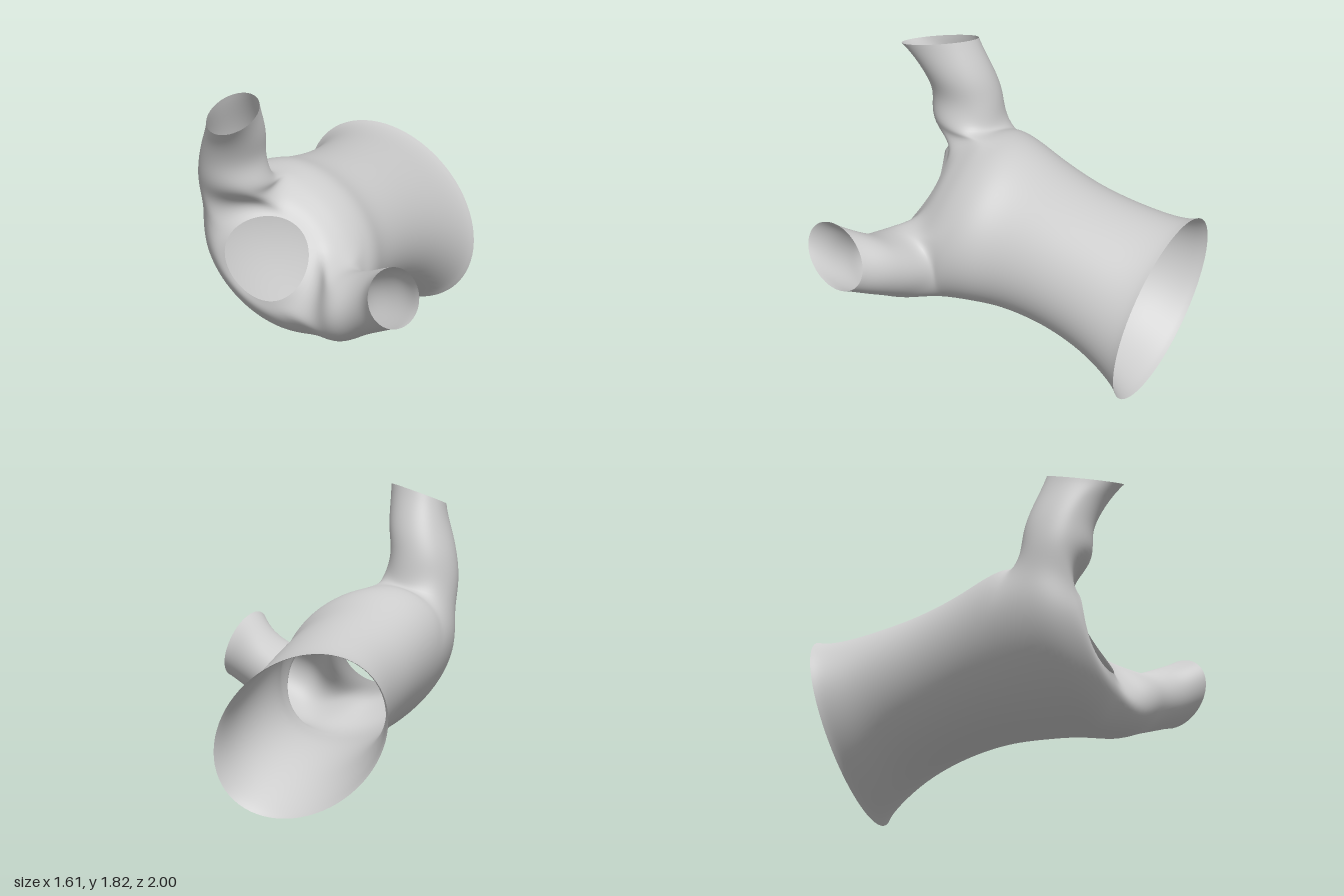
import * as THREE from 'three';

const COLS = 72, STEP = 6, SLEEVE_STEPS = 7, SMOOTHING = 8;
const V = (x, y, z) => new THREE.Vector3(x, y, z);

// torso loops, hem to neck: centre x, centre y, z at chest, z at back, half width, half depth, z lift at the shoulders
const LOOPS = [
  [-0.255, 0.52, -0.83, -1.0, 0.6, 0.45, 0],
  [-0.25, 0.555, -0.74, -0.86, 0.545, 0.43, 0],
  [-0.23, 0.63, -0.56, -0.62, 0.49, 0.405, 0],
  [-0.215, 0.7, -0.3, -0.3, 0.465, 0.4, 0],
  [-0.21, 0.755, 0, 0, 0.49, 0.4, 0],
  [-0.19, 0.79, 0.25, 0.18, 0.54, 0.42, 0],
  [-0.185, 0.79, 0.47, 0.34, 0.57, 0.4, 0],
  [-0.18, 0.79, 0.68, 0.44, 0.55, 0.355, 0.03],
  [-0.165, 0.825, 0.81, 0.51, 0.42, 0.28, 0.06],
  [-0.168, 0.83, 0.81, 0.57, 0.26, 0.22, 0.06],
];
const ACROSS = V(0.77, -0.64, 0), DEPTH = V(0.64, 0.77, 0);

// sleeve loops, shoulder to cuff: centre and two half axes
const SLEEVES = [
  { col: 33, loops: [
    [V(-0.44, 1.25, 0.62), V(-0.235, -0.02, 0), V(0, 0, 0.22)],
    [V(-0.45, 1.42, 0.645), V(-0.2, 0, 0), V(0, 0, 0.215)],
    [V(-0.41, 1.58, 0.69), V(-0.195, -0.02, 0), V(0.02, 0, 0.22)],
    [V(-0.365, 1.76, 0.785), V(-0.17, -0.055, 0.02), V(0.08, -0.04, 0.21)],
  ] },
  { col: 3, loops: [
    [V(0.32, 0.585, 0.615), V(-0.01, 0.22, 0), V(0, 0, 0.255)],
    [V(0.48, 0.65, 0.635), V(-0.04, 0.185, 0), V(0, 0, 0.24)],
    [V(0.62, 0.72, 0.68), V(-0.045, 0.185, 0), V(-0.01, 0, 0.235)],
    [V(0.745, 0.79, 0.77), V(-0.05, 0.19, 0.03), V(-0.035, 0, 0.225)],
  ] },
];
const HALF = 8, ROW0 = 34, ROW1 = 50; // size of each armhole in grid cells

export function createModel() {
  const group = new THREE.Group();
  const points = [], index = [], rims = new Set();
  const add = (p) => points.push(p) - 1;
  const quad = (a, b, c, d) => index.push(a, b, c, b, d, c);

  // torso: one smooth curve per column, sampled into a grid
  const rows = (LOOPS.length - 1) * STEP;
  const grid = [];
  for (let i = 0; i < COLS; i++) {
    const t = (i / COLS) * Math.PI * 2, c = Math.cos(t), s = Math.sin(t);
    const curve = new THREE.CatmullRomCurve3(LOOPS.map(([x, y, zF, zB, A, B, lift]) =>
      V(x, y, (zF + zB) / 2 + ((zB - zF) / 2) * s + lift * c * c)
        .addScaledVector(ACROSS, A * c).addScaledVector(DEPTH, B * s)), false, 'catmullrom', 0.5);
    const line = curve.getPoints(rows).map(add);
    rims.add(line[0]).add(line[rows]);
    grid.push(line);
  }
  const at = (i, j) => grid[(i + COLS) % COLS][j];
  const inArmhole = (i, j) => j >= ROW0 && j < ROW1 &&
    SLEEVES.some(({ col }) => (i - col + HALF + COLS) % COLS < 2 * HALF);
  for (let i = 0; i < COLS; i++) {
    for (let j = 0; j < rows; j++) {
      if (!inArmhole(i, j)) quad(at(i, j), at(i + 1, j), at(i, j + 1), at(i + 1, j + 1));
    }
  }

  // sleeves: grow from the armhole edge to the cuff
  for (const { col, loops } of SLEEVES) {
    const edge = [];
    const mid = (ROW0 + ROW1) / 2, halfRows = (ROW1 - ROW0) / 2;
    for (let a = -HALF; a < HALF; a++) edge.push([a, -halfRows]);
    for (let b = -halfRows; b < halfRows; b++) edge.push([HALF, b]);
    for (let a = HALF; a > -HALF; a--) edge.push([a, halfRows]);
    for (let b = halfRows; b > -halfRows; b--) edge.push([-HALF, b]);
    const lines = edge.map(([a, b]) => {
      const start = at(col + a, mid + b);
      const f = Math.atan2(b / halfRows, a / HALF);
      const keys = loops.map(([c, p, q]) =>
        c.clone().addScaledVector(p, Math.cos(f)).addScaledVector(q, Math.sin(f)));
      const curve = new THREE.CatmullRomCurve3([points[start], ...keys], false, 'centripetal');
      const line = [start, ...curve.getPoints(loops.length * SLEEVE_STEPS).slice(1).map(add)];
      rims.add(line[line.length - 1]);
      return line;
    });
    lines.forEach((line, k) => {
      const next = lines[(k + 1) % lines.length];
      for (let j = 0; j < line.length - 1; j++) quad(line[j], next[j], line[j + 1], next[j + 1]);
    });
  }

  // relax the cloth so that sleeves and torso flow into each other; the rims stay put
  const neighbours = points.map(() => new Set());
  for (let k = 0; k < index.length; k += 3) {
    const [a, b, c] = index.slice(k, k + 3);
    neighbours[a].add(b).add(c);
    neighbours[b].add(a).add(c);
    neighbours[c].add(a).add(b);
  }
  for (let n = 0; n < SMOOTHING; n++) {
    const old = points.map((p) => p.clone());
    points.forEach((p, i) => {
      if (rims.has(i) || neighbours[i].size === 0) return;
      const mean = V(0, 0, 0);
      for (const j of neighbours[i]) mean.add(old[j]);
      p.lerp(mean.divideScalar(neighbours[i].size), 0.7);
    });
  }

  const geometry = new THREE.BufferGeometry().setFromPoints(points);
  geometry.setIndex(index);
  geometry.computeVertexNormals();
  const shirt = new THREE.Mesh(geometry,
    new THREE.MeshStandardMaterial({ color: 0xcccccc, side: THREE.DoubleSide }));
  shirt.name = 'shirt';
  group.add(shirt);
  return group;
}
